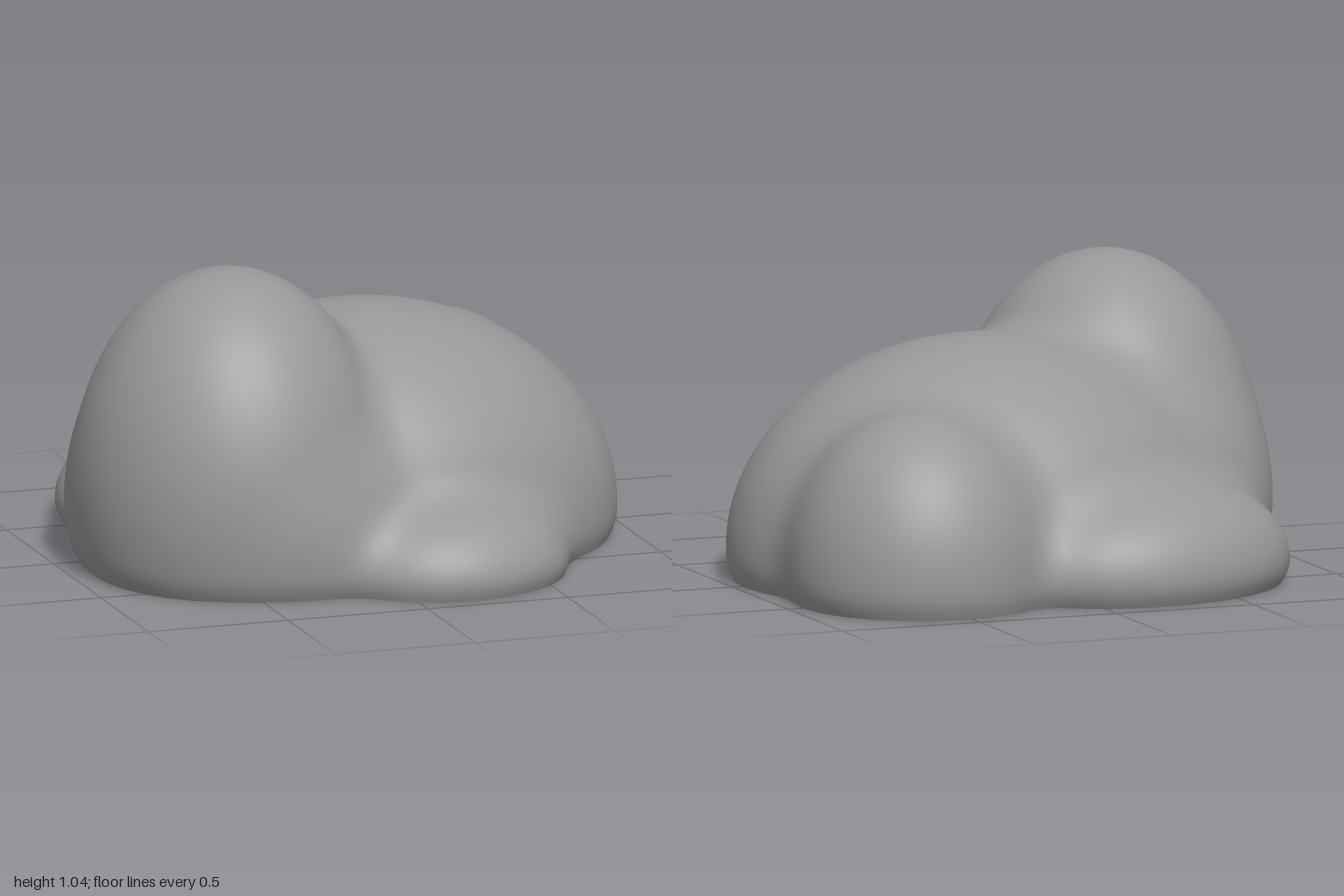
import * as THREE from 'three';
import { mergeVertices } from 'three/addons/utils/BufferGeometryUtils.js';

// Rounded lobes of the mound: centre, radii, turn about the vertical axis
const LOBES = {
  body: { c: [0.1, 0.1, -0.03], r: [0.89, 0.72, 0.74], turn: 0 },
  tallLobe: { c: [-0.45, 0.3, 0.23], r: [0.53, 0.74, 0.56], turn: 0 },
  leftShoulder: { c: [-0.45, 0.2, 0.03], r: [0.49, 0.52, 0.46], turn: 0 },
  frontShoulder: { c: [-0.28, 0.15, 0.3], r: [0.47, 0.48, 0.5], turn: 0 },
  backRightLobe: { c: [0.53, 0.12, -0.51], r: [0.44, 0.53, 0.45], turn: 0 },
  frontLobe: { c: [0.21, 0.04, 0.58], r: [0.43, 0.26, 0.38], turn: 0.25 },
  backLeftLobe: { c: [-0.29, 0.08, -0.53], r: [0.55, 0.31, 0.41], turn: 0.35 },
};
const BLEND = 0.09;

// Approximate signed distance to one ellipsoid lobe
function lobeDistance({ c, r, turn }, p) {
  const x = p.x - c[0], y = p.y - c[1], z = p.z - c[2];
  const u = x * Math.cos(turn) - z * Math.sin(turn);
  const v = x * Math.sin(turn) + z * Math.cos(turn);
  return (Math.hypot(u / r[0], y / r[1], v / r[2]) - 1) * Math.min(...r);
}

// Smooth union of all lobes
function moundDistance(p) {
  let d = Infinity;
  for (const lobe of Object.values(LOBES)) {
    const e = lobeDistance(lobe, p);
    const h = Math.max(BLEND - Math.abs(d - e), 0) / BLEND;
    d = Math.min(d, e) - h * h * BLEND * 0.25;
  }
  return d;
}

// Outermost surface point along a ray from the middle of the base
function surfacePoint(dir, target) {
  const step = 0.02;
  let t = 1.6;
  while (t > step && moundDistance(target.copy(dir).multiplyScalar(t)) > 0) t -= step;
  let inside = t, outside = t + step;
  for (let i = 0; i < 12; i++) {
    const mid = (inside + outside) / 2;
    if (moundDistance(target.copy(dir).multiplyScalar(mid)) > 0) outside = mid;
    else inside = mid;
  }
  target.copy(dir).multiplyScalar(inside);
  // Tuck the foot of the wall in a little
  const tuck = 1 - 0.015 * Math.max(0, 1 - target.y / 0.08) ** 2;
  target.x *= tuck;
  target.z *= tuck;
  return target;
}

export function createModel() {
  const group = new THREE.Group();
  group.name = 'lobedMound';
  const material = new THREE.MeshStandardMaterial({ color: 0x989898 });
  const dir = new THREE.Vector3(), point = new THREE.Vector3();

  // Upper surface: a hemisphere pushed out to the blended lobes
  let dome = new THREE.SphereGeometry(1, 128, 56, 0, Math.PI * 2, 0, Math.PI / 2);
  dome.deleteAttribute('uv');
  dome.deleteAttribute('normal');
  dome = mergeVertices(dome, 1e-5);
  const pos = dome.attributes.position;
  for (let i = 0; i < pos.count; i++) {
    dir.fromBufferAttribute(pos, i).normalize();
    if (dir.y < 1e-6) dir.y = 0;
    surfacePoint(dir, point);
    pos.setXYZ(i, point.x, point.y, point.z);
  }
  dome.computeVertexNormals();
  const surface = new THREE.Mesh(dome, material);
  surface.name = 'moundSurface';
  group.add(surface);

  // Flat underside in rings of the same outline, shaded softly into the wall
  const base = new THREE.RingGeometry(0, 1, 128, 4);
  base.rotateX(Math.PI / 2);
  const ring = base.attributes.position;
  for (let i = 0; i < ring.count; i++) {
    const radius = Math.hypot(ring.getX(i), ring.getZ(i));
    if (radius < 0.01) continue;
    dir.set(ring.getX(i), 0, ring.getZ(i)).normalize();
    surfacePoint(dir, point).multiplyScalar(radius);
    ring.setXYZ(i, point.x, 0, point.z);
    if (radius > 0.99) {
      dir.setY(-0.5).normalize();
      base.attributes.normal.setXYZ(i, dir.x, dir.y, dir.z);
    }
  }
  const underside = new THREE.Mesh(base, material);
  underside.name = 'flatUnderside';
  group.add(underside);

  return group;
}
